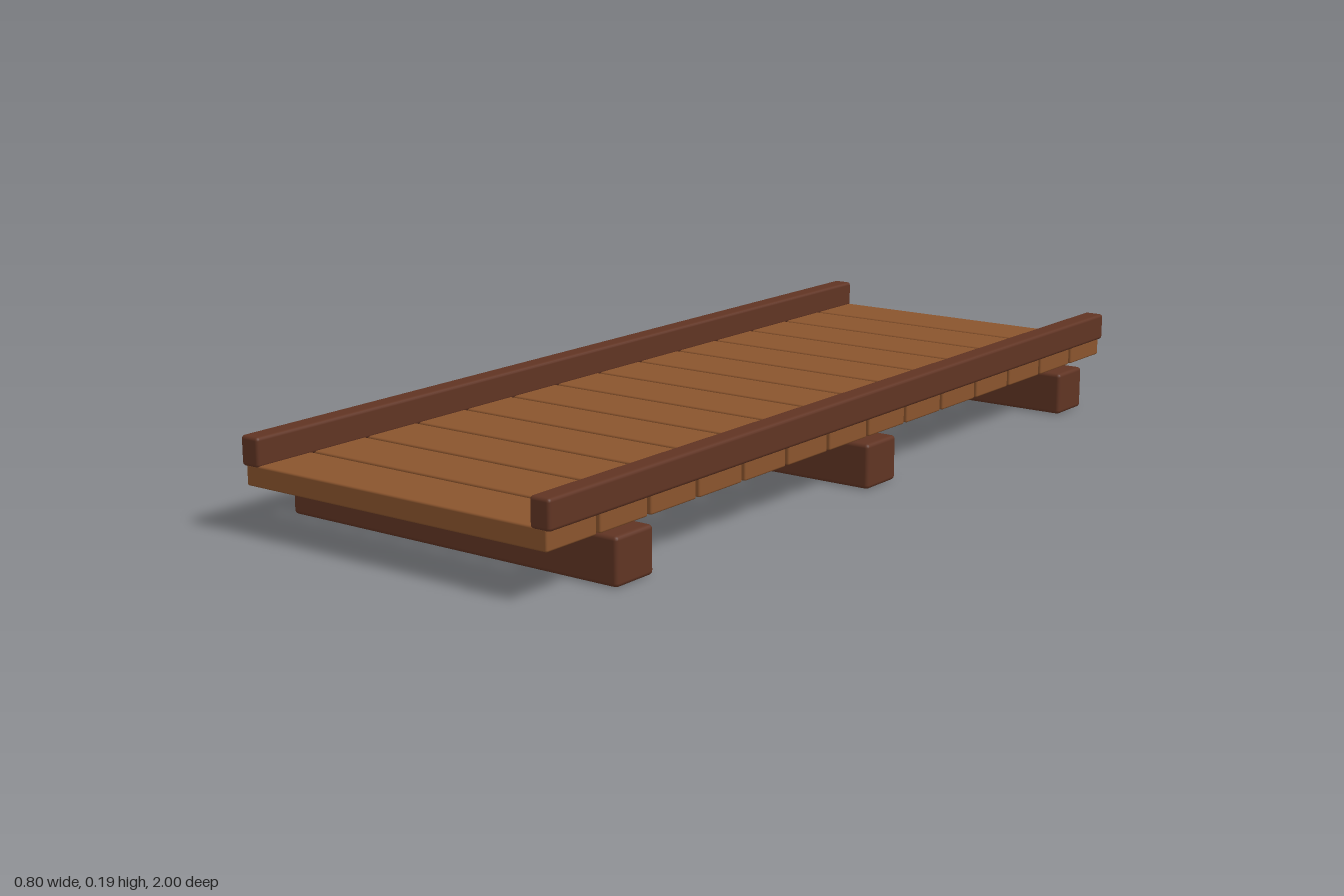
import * as THREE from 'three';
import { RoundedBoxGeometry } from 'three/addons/geometries/RoundedBoxGeometry.js';

export function createModel() {
  const model = new THREE.Group();
  model.name = 'plankWalkway';

  const plankWood = new THREE.MeshStandardMaterial({ color: 0x8a542d });
  plankWood.name = 'plankWood';
  const darkWood = new THREE.MeshStandardMaterial({ color: 0x603423 });
  darkWood.name = 'darkWood';

  // A timber with softened edges, placed by its centre
  function timber(name, size, position, radius, material) {
    const mesh = new THREE.Mesh(new RoundedBoxGeometry(...size, 2, radius), material);
    mesh.name = name;
    mesh.position.set(...position);
    model.add(mesh);
  }

  // Cross beams resting on the ground
  for (const z of [-0.8, 0, 0.8]) {
    timber('crossBeam', [0.8, 0.093, 0.105], [0, 0.0465, z], 0.008, darkWood);
  }

  // Deck planks with narrow gaps
  const count = 14;
  const pitch = 0.1431;
  for (let i = 0; i < count; i++) {
    const z = (i - (count - 1) / 2) * pitch;
    timber('deckPlank', [0.732, 0.042, 0.134], [0, 0.115, z], 0.004, plankWood);
  }

  // Side rails along both edges of the deck
  for (const side of [-1, 1]) {
    const name = side > 0 ? 'leftRail' : 'rightRail';
    timber(name, [0.045, 0.059, 2], [side * 0.353, 0.161, 0], 0.007, darkWood);
  }

  return model;
}
